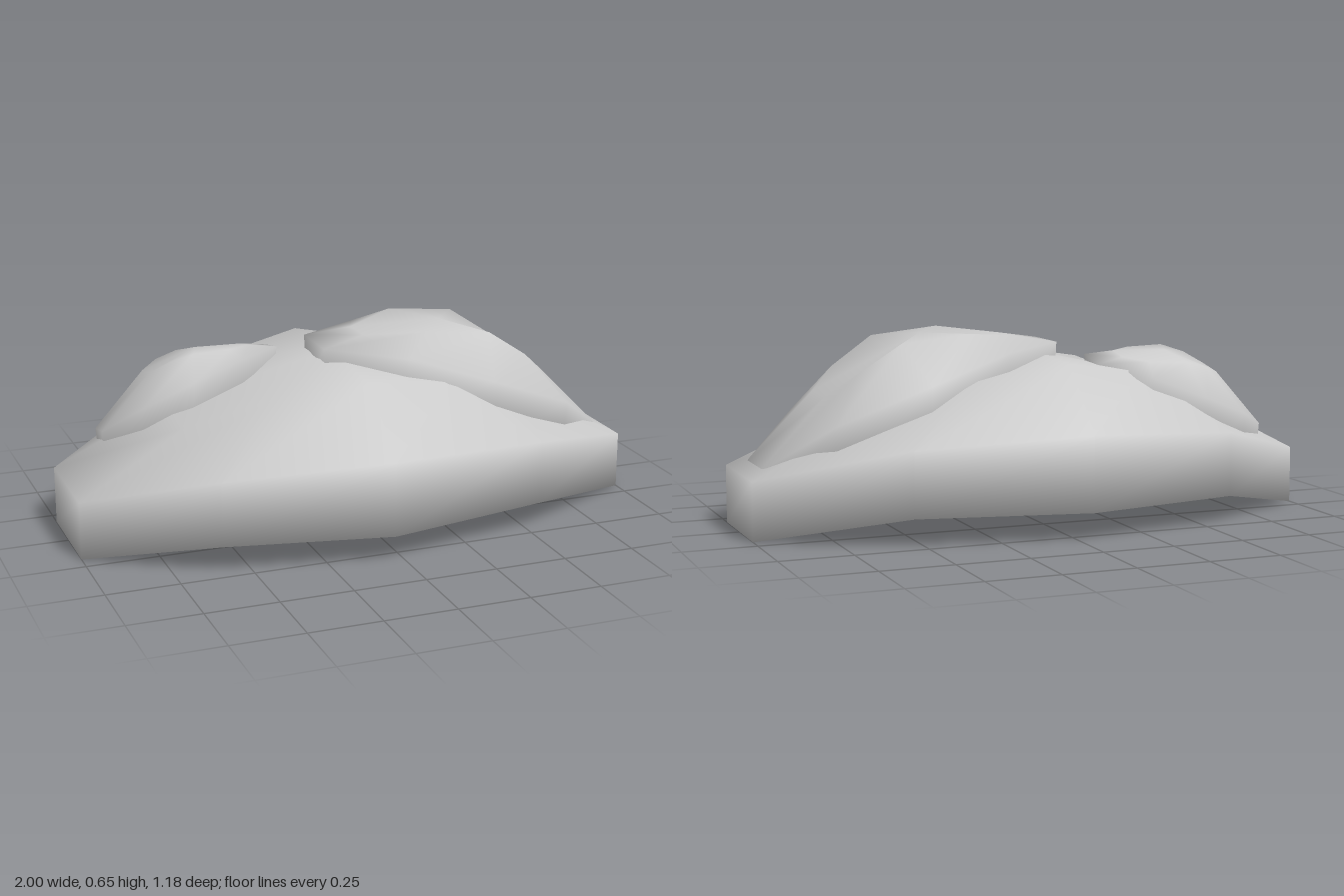
import * as THREE from 'three';

// Closed smooth stone: half rings [x, y, z] run from +x to -x, listed bottom to top,
// mirrored across z; bottom and top are the [x, y] centres of the caps.
// z0 shifts the stone, tilt raises its +z side and lowers its -z side.
function stone(name, bottom, rings, top, z0 = 0, tilt = 0) {
  const pos = [bottom[0], bottom[1], z0];
  const n = rings[0].length * 2;
  for (const half of rings) {
    for (const [x, y, z] of half) pos.push(x, y + tilt * z, z0 + z);
    for (const [x, y, z] of [...half].reverse()) pos.push(x, y - tilt * z, z0 - z);
  }
  const last = pos.length / 3;
  pos.push(top[0], top[1], z0);

  const idx = [];
  for (let j = 0; j < n; j++) {
    const k = (j + 1) % n;
    idx.push(1 + j, 1 + k, 0);
    for (let r = 0; r < rings.length - 1; r++) {
      const a = 1 + r * n, b = a + n;
      idx.push(a + j, b + j, a + k, b + j, b + k, a + k);
    }
    const a = 1 + (rings.length - 1) * n;
    idx.push(a + j, last, a + k);
  }
  const geo = new THREE.BufferGeometry();
  geo.setAttribute('position', new THREE.Float32BufferAttribute(pos, 3));
  geo.setIndex(idx);
  geo.computeVertexNormals();
  const mesh = new THREE.Mesh(geo, new THREE.MeshStandardMaterial({ color: 0xcccccc }));
  mesh.name = name;
  return mesh;
}

export function createModel() {
  const group = new THREE.Group();
  group.name = 'rockFormation';

  // Wide slab with a raised underside and a domed top
  group.add(stone('baseRock', [-0.04, 0.095], [
    [[0.37, 0.09, 0.1], [0.33, 0.095, 0.27], [-0.04, 0.095, 0.34], [-0.42, 0.095, 0.27], [-0.46, 0.09, 0.1]],
    [[1, 0, 0.185], [0.54, 0.095, 0.475], [-0.04, 0.095, 0.59], [-0.6, 0.095, 0.475], [-1, 0, 0.185]],
    [[1, 0.2, 0.185], [0.54, 0.315, 0.475], [-0.04, 0.35, 0.59], [-0.6, 0.315, 0.475], [-1, 0.2, 0.185]],
    [[0.62, 0.375, 0.15], [0.28, 0.505, 0.29], [-0.05, 0.56, 0.365], [-0.35, 0.515, 0.29], [-0.62, 0.4, 0.14]],
  ], [-0.05, 0.575]));

  // Large stone sloping down towards the +x end, sunk deep into the slab
  group.add(stone('largeRock', [0.4, 0.22], [
    [[0.92, 0.09, 0.09], [0.73, 0.18, 0.26], [0.43, 0.28, 0.33], [0.13, 0.36, 0.26], [-0.1, 0.42, 0.1]],
    [[0.955, 0.215, 0.1], [0.74, 0.375, 0.27], [0.43, 0.5, 0.335], [0.13, 0.595, 0.27], [-0.11, 0.61, 0.1]],
    [[0.72, 0.455, 0.08], [0.63, 0.53, 0.15], [0.48, 0.63, 0.17], [0.24, 0.655, 0.17], [0.05, 0.635, 0.06]],
  ], [0.36, 0.65]));

  // Small stone at the back of the -x end, leaning with the slab's slope
  group.add(stone('smallRock', [-0.5, 0.25], [
    [[-0.22, 0.36, 0.06], [-0.36, 0.33, 0.16], [-0.55, 0.27, 0.19], [-0.71, 0.21, 0.15], [-0.82, 0.16, 0.05]],
    [[-0.2, 0.555, 0.06], [-0.36, 0.53, 0.165], [-0.55, 0.465, 0.2], [-0.72, 0.39, 0.16], [-0.835, 0.315, 0.05]],
    [[-0.3, 0.57, 0.04], [-0.38, 0.565, 0.09], [-0.52, 0.563, 0.11], [-0.6, 0.54, 0.09], [-0.66, 0.508, 0.05]],
  ], [-0.48, 0.578], -0.195, 0.2));

  return group;
}
